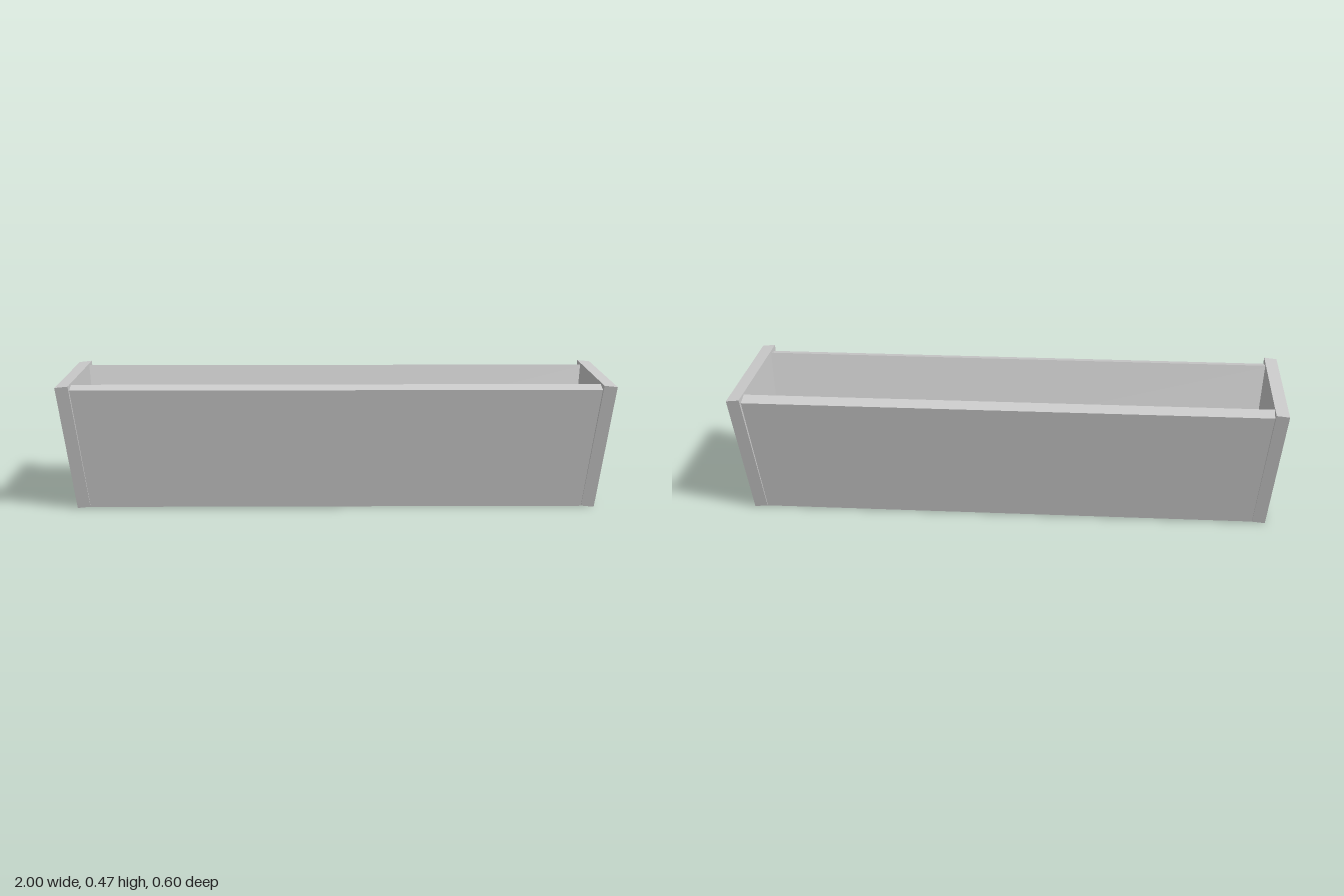
import * as THREE from 'three';

const material = new THREE.MeshStandardMaterial({ color: 0xcccccc, flatShading: true });

// Leaning trapezoid board facing +z, with its top and bottom edges cut square to its slope.
// Each profile point is [z, y, half length]: outer bottom, outer top, inner top, inner bottom.
function leaningBoard([outerBottom, outerTop, innerTop, innerBottom]) {
  const geometry = new THREE.BoxGeometry(2, 2, 2);
  const p = geometry.attributes.position;
  for (let i = 0; i < p.count; i++) {
    const top = p.getY(i) > 0, outer = p.getZ(i) > 0;
    const [z, y, half] = outer ? (top ? outerTop : outerBottom) : (top ? innerTop : innerBottom);
    p.setXYZ(i, p.getX(i) * half, y, z);
  }
  geometry.computeVertexNormals();
  return geometry;
}

function addBoard(group, name, geometry, turn) {
  const mesh = new THREE.Mesh(geometry, material);
  mesh.name = name;
  mesh.rotation.y = turn;
  group.add(mesh);
}

export function createModel() {
  const group = new THREE.Group();
  group.name = 'planterBox';

  // Long boards, their ends housed within the end boards
  const side = leaningBoard([
    [0.177, 0.003, 0.925], [0.28, 0.455, 0.973],
    [0.225, 0.467, 0.973], [0.122, 0.015, 0.925],
  ]);
  addBoard(group, 'frontBoard', side, 0);
  addBoard(group, 'backBoard', side, Math.PI);

  // Tapered end boards, slightly taller and wider than the sides
  const end = leaningBoard([
    [0.95, 0, 0.181], [1, 0.468, 0.299],
    [0.953, 0.473, 0.3], [0.903, 0.005, 0.182],
  ]);
  addBoard(group, 'leftEndBoard', end, Math.PI / 2);
  addBoard(group, 'rightEndBoard', end, -Math.PI / 2);

  // Floor, set up a little from the bottom edges
  const floor = new THREE.Mesh(new THREE.BoxGeometry(1.83, 0.02, 0.27), material);
  floor.name = 'floorBoard';
  floor.position.y = 0.042;
  group.add(floor);

  return group;
}
